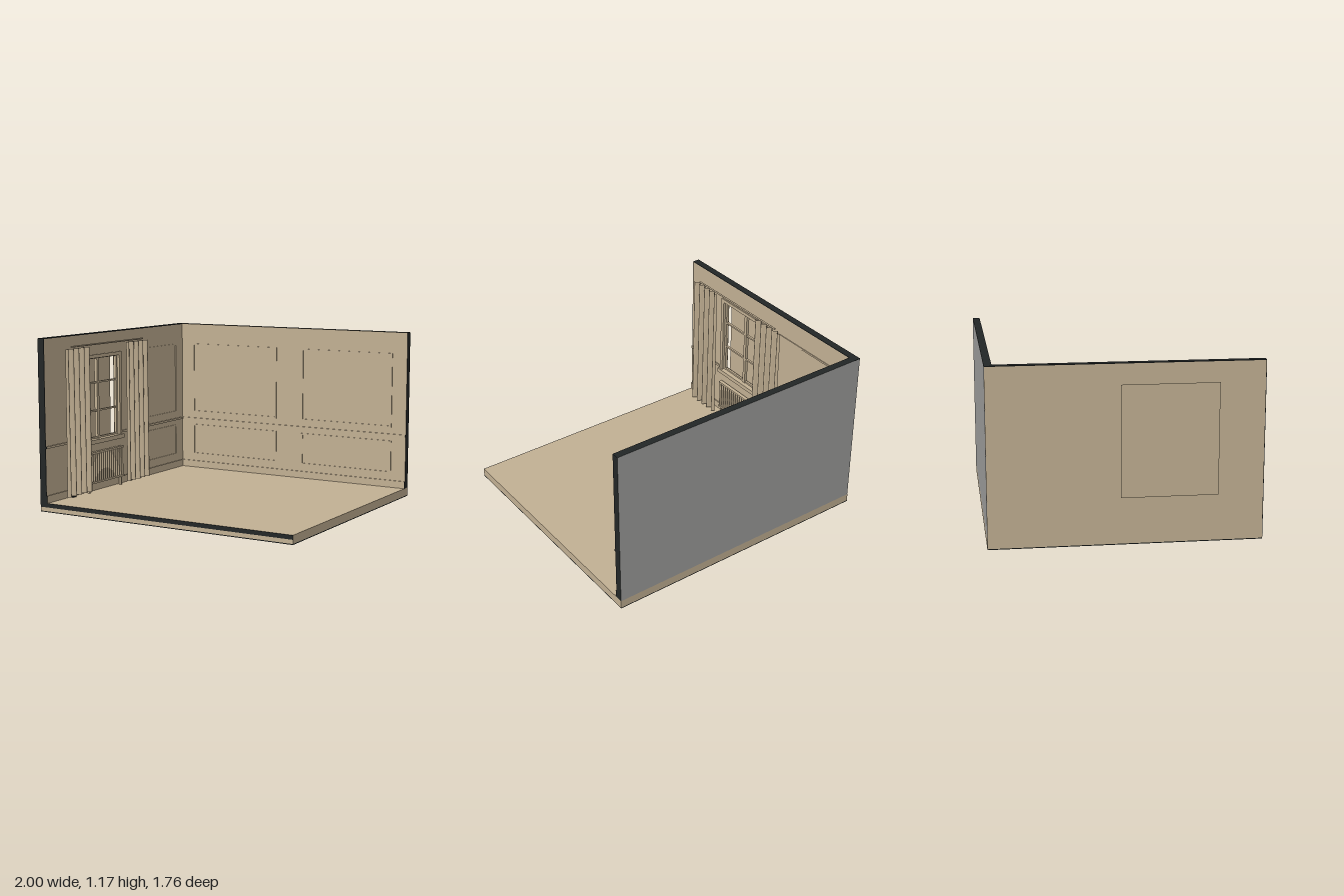
import * as THREE from 'three';

export function createModel() {
  const room = new THREE.Group();
  room.name = 'roomCorner';

  const mat = (name, color, extra = {}) => {
    const m = new THREE.MeshStandardMaterial({ color, ...extra });
    m.name = name;
    return m;
  };
  const beige = mat('warmBeige', 0xc2b093, { side: THREE.DoubleSide });
  const black = mat('cutEdgeBlack', 0x222626);
  const grey = mat('outerGrey', 0x9f9f9d);

  const add = (name, geometry, material, parent = room) => {
    const mesh = new THREE.Mesh(geometry, material);
    mesh.name = name;
    parent.add(mesh);
    return mesh;
  };
  // Box given by its minimum and maximum on each axis
  const box = (name, [x0, x1], [y0, y1], [z0, z1], material = beige, parent = room) => {
    const mesh = add(name, new THREE.BoxGeometry(x1 - x0, y1 - y0, z1 - z0), material, parent);
    mesh.position.set((x0 + x1) / 2, (y0 + y1) / 2, (z0 + z1) / 2);
    return mesh;
  };
  const group = (name) => {
    const g = new THREE.Group();
    g.name = name;
    room.add(g);
    return g;
  };

  const X0 = -0.92, XW = -0.87, Z0 = -0.88, ZW = -0.83, Z1 = 0.88, H = 1.17, F = 0.06;
  const winZ = 0.26;

  // Floor slab with dark underside and dark upper front edge
  box('floor', [X0, 1], [0.006, F], [Z0, Z1 - 0.002]);
  box('floorUnderside', [X0, 1], [0, 0.006], [Z0, Z1], black);
  box('floorFrontEdge', [X0, 1], [0.006, 0.032], [Z1 - 0.002, Z1]);
  box('floorFrontDarkEdge', [X0, 1], [0.032, F], [Z1 - 0.002, Z1], black);

  // Back wall: dark end and top, grey outside
  box('backWall', [XW, 1], [F, H], [Z0, ZW], [black, beige, black, beige, beige, grey]);
  box('backWallCorner', [X0 + 0.002, XW], [F, H - 0.004], [Z0, Z0 + 0.002], grey);

  // Side wall with the window opening
  const wall = new THREE.Shape();
  wall.moveTo(Z0 + 0.002, F);
  wall.lineTo(Z1 - 0.004, F);
  wall.lineTo(Z1 - 0.004, H - 0.004);
  wall.lineTo(Z0 + 0.002, H - 0.004);
  wall.closePath();
  const hole = new THREE.Path();
  hole.moveTo(winZ - 0.24, 0.42);
  hole.lineTo(winZ - 0.24, 1.0);
  hole.lineTo(winZ + 0.24, 1.0);
  hole.lineTo(winZ + 0.24, 0.42);
  hole.closePath();
  wall.holes.push(hole);
  const wallGeo = new THREE.ExtrudeGeometry(wall, { depth: XW - X0, bevelEnabled: false });
  wallGeo.rotateY(-Math.PI / 2);
  add('sideWall', wallGeo, beige).position.x = XW;
  box('sideWallTop', [X0, XW], [H - 0.004, H], [Z0, Z1], black);
  box('sideWallEnd', [X0, XW], [F, H - 0.004], [Z1 - 0.004, Z1], black);

  // Baseboards and chair rails on both walls, with dark end caps
  for (const [name, y0, y1, d] of [['baseboard', F, 0.11, 0.008], ['chairRail', 0.43, 0.445, 0.009]]) {
    box(name + 'Back', [XW, 0.998], [y0, y1], [ZW, ZW + d]);
    box(name + 'BackEnd', [0.998, 1], [y0, y1], [ZW, ZW + d], black);
    const spans = name === 'chairRail' ? [[ZW, winZ - 0.265], [winZ + 0.265, Z1 - 0.002]] : [[ZW, Z1 - 0.002]];
    for (const span of spans) box(name + 'Side', [XW, XW + d], [y0, y1], span);
    box(name + 'SideEnd', [XW, XW + d], [y0, y1], [Z1 - 0.002, Z1], black);
  }

  // Rectangular wall panel mouldings
  const mouldingGeo = (w, h) => {
    const rect = (path, x, y) => {
      path.moveTo(-x, -y);
      path.lineTo(x, -y);
      path.lineTo(x, y);
      path.lineTo(-x, y);
      path.closePath();
      return path;
    };
    const s = rect(new THREE.Shape(), w / 2, h / 2);
    s.holes.push(rect(new THREE.Path(), w / 2 - 0.012, h / 2 - 0.012));
    return new THREE.ExtrudeGeometry(s, { depth: 0.006, bevelEnabled: false });
  };
  for (const [y0, y1] of [[0.16, 0.395], [0.49, 1.02]]) {
    for (const [x0, x1] of [[-0.77, -0.04], [0.17, 0.89]]) {
      add('backPanelMoulding', mouldingGeo(x1 - x0, y1 - y0), beige)
        .position.set((x0 + x1) / 2, (y0 + y1) / 2, ZW);
    }
    const side = add('sidePanelMoulding', mouldingGeo(0.63, y1 - y0), beige);
    side.rotation.y = Math.PI / 2;
    side.position.set(XW, (y0 + y1) / 2, -0.425);
  }

  // Window: casing, sash, glazing bars, sill and the board outside
  const win = group('window');
  for (const s of [-1, 1]) {
    const a = winZ + s * 0.235, b = winZ + s * 0.262;
    box('casingSide', [XW, XW + 0.007], [0.42, 1.02], [Math.min(a, b), Math.max(a, b)], beige, win);
    const c = winZ + s * 0.232;
    box('sashStile', [-0.905, -0.885], [0.42, 1.0], [c - 0.009, c + 0.009], beige, win);
  }
  box('casingTop', [XW, XW + 0.007], [0.995, 1.02], [winZ - 0.262, winZ + 0.262], beige, win);
  box('mullion', [-0.905, -0.882], [0.42, 1.0], [winZ - 0.012, winZ + 0.012], beige, win);
  for (const y of [0.428, 0.62, 0.82, 0.995]) {
    box('glazingBar', [-0.902, -0.886], [y - 0.006, y + 0.006], [winZ - 0.24, winZ + 0.24], beige, win);
  }
  box('sill', [-0.9, -0.853], [0.39, 0.42], [winZ - 0.275, winZ + 0.275], beige, win);
  const board = add('outsideBoard', new THREE.PlaneGeometry(0.62, 0.72), beige, win);
  board.rotation.y = Math.PI / 2;
  board.position.set(-1, 0.69, winZ);

  // Radiator with rounded fins, rails and feet
  const radiator = group('radiator');
  box('radiatorBody', [-0.845, -0.829], [0.125, 0.34], [0.04, 0.475], beige, radiator);
  const fin = new THREE.CylinderGeometry(0.0085, 0.0085, 0.2, 10);
  for (let i = 0; i < 18; i++) {
    add('radiatorFin', fin, beige, radiator).position.set(-0.829, 0.233, 0.052 + i * 0.0242);
  }
  for (const y of [0.125, 0.335]) {
    box('radiatorRail', [-0.847, -0.819], [y - 0.005, y + 0.008], [0.04, 0.475], beige, radiator);
  }
  for (const z of [0.07, 0.45]) {
    box('radiatorFoot', [-0.842, -0.824], [F, 0.125], [z - 0.007, z + 0.007], beige, radiator);
  }

  // Pleated curtains, folds deepening toward the hem
  const curtain = (zMid) => {
    const g = new THREE.PlaneGeometry(0.265, 1.005, 90, 6);
    g.rotateY(Math.PI / 2);
    const p = g.attributes.position;
    for (let i = 0; i < p.count; i++) {
      const z = p.getZ(i), depth = 0.018 - p.getY(i) * 0.008;
      p.setX(i, depth * Math.cos((z / 0.265) * Math.PI * 2 * 4.5));
    }
    g.computeVertexNormals();
    add('curtain', g, beige).position.set(-0.791, 0.5875, zMid);
  };
  curtain(winZ + 0.357);
  curtain(winZ - 0.353);

  // Curtain rod
  const rod = add('curtainRod', new THREE.CylinderGeometry(0.006, 0.006, 0.855, 16), beige);
  rod.rotation.x = Math.PI / 2;
  rod.position.set(-0.791, 1.104, winZ);

  // Dark floor fitting behind the curtain
  const fitting = add('floorFitting', new THREE.CylinderGeometry(0.02, 0.02, 0.004, 16), black);
  fitting.position.set(-0.85, F + 0.002, 0.607);

  return room;
}
